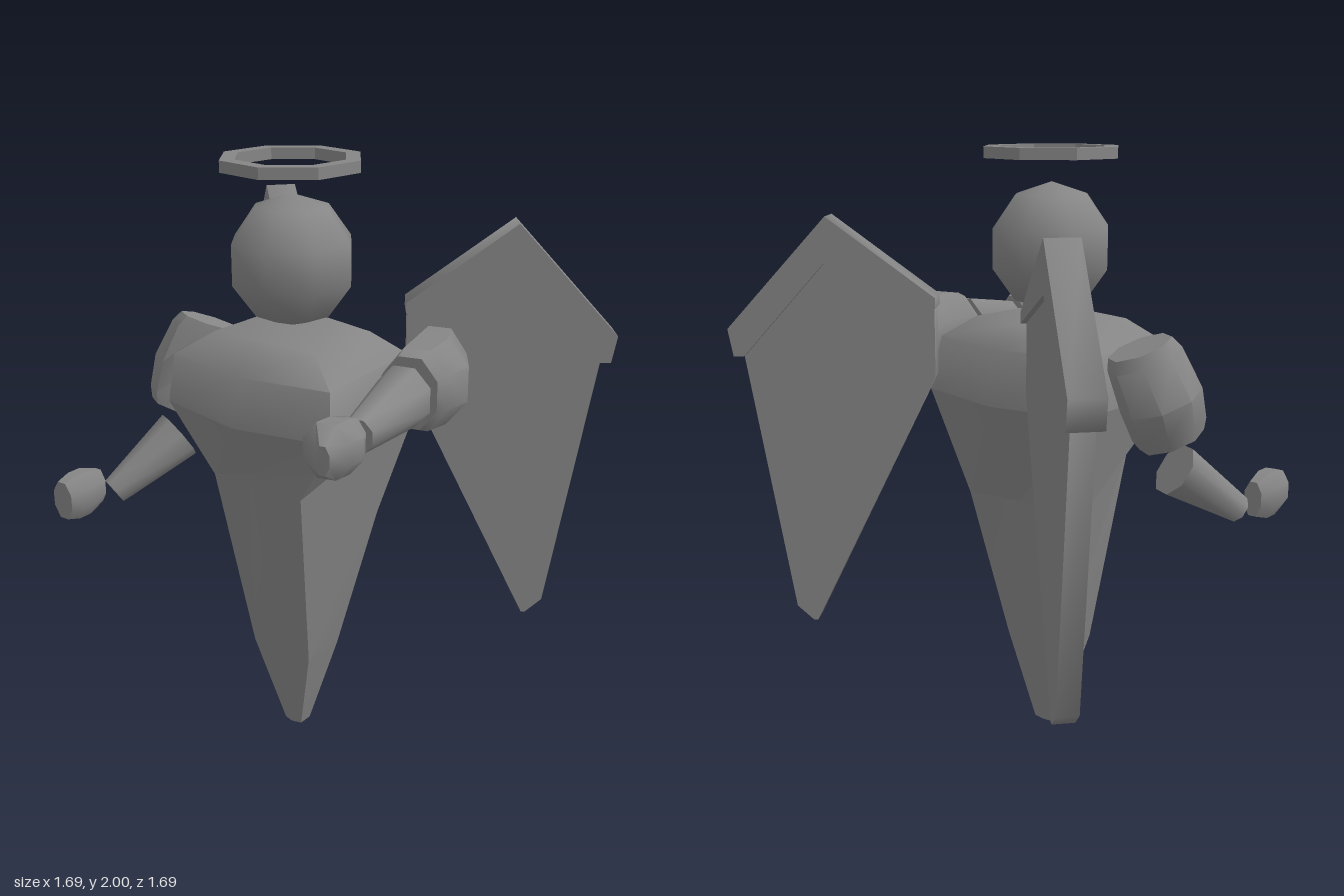
import * as THREE from 'three';
import { toCreasedNormals } from 'three/addons/utils/BufferGeometryUtils.js';

const grey = new THREE.MeshStandardMaterial({ color: 0x868686 });

// Closed skin over a list of rings (each a list of [x, y, z]), with flat end caps
function loft(rings, crease) {
  const n = rings[0].length, pos = rings.flat(2), idx = [];
  for (let i = 0; i < rings.length - 1; i++) {
    for (let j = 0; j < n; j++) {
      const k = (j + 1) % n, a = i * n + j, b = i * n + k;
      idx.push(a, b, b + n, a, b + n, a + n);
    }
  }
  const last = (rings.length - 1) * n;
  for (let j = 1; j < n - 1; j++) {
    idx.push(0, j + 1, j, last, last + j, last + j + 1);
  }
  const g = new THREE.BufferGeometry();
  g.setAttribute('position', new THREE.Float32BufferAttribute(pos, 3));
  g.setIndex(idx);
  return toCreasedNormals(g, crease);
}

function add(parent, name, geometry) {
  const m = new THREE.Mesh(geometry, grey);
  m.name = name;
  parent.add(m);
  return m;
}

// Limb segment pointing from one point to another; rows are [t, rx, ry, shiftX]
function limb(parent, name, from, to, rows) {
  const a = new THREE.Vector3(...from), b = new THREE.Vector3(...to);
  const len = a.distanceTo(b), sides = 8;
  const rings = rows.map(([t, rx, ry, ox = 0]) =>
    Array.from({ length: sides }, (_, j) => {
      const w = ((j + 0.5) / sides) * Math.PI * 2;
      return [ox + rx * Math.cos(w), ry * Math.sin(w), t * len];
    }));
  const m = add(parent, name, loft(rings, 0.85));
  m.position.copy(a);
  m.lookAt(b);
}

// Flat outline with thickness, smooth around the rim and sharp at the faces
function plate(points, depth) {
  const shape = new THREE.Shape(points.map(([x, y]) => new THREE.Vector2(x, y)));
  const g = new THREE.ExtrudeGeometry(shape, { depth, bevelEnabled: false });
  return toCreasedNormals(g.translate(0, 0, -depth / 2), 1.5);
}

// Wing: thin pointed panel under a thicker chevron rim
function wing(parent, name, x, z, angle) {
  const g = new THREE.Group();
  g.name = name;
  add(g, 'wingRim', plate([[0, 1.53], [0.35, 1.785], [0.686, 1.42], [0.67, 1.33],
    [0.635, 1.33], [0.36, 1.635], [0, 1.495]], 0.105));
  add(g, 'wingPanel', plate([[0.005, 1.5], [0.36, 1.64], [0.64, 1.34], [0.5, 0.45],
    [0.445, 0.4], [0.43, 0.4], [0.005, 1.27]], 0.07));
  g.position.set(x, 0, z);
  g.rotation.y = angle;
  parent.add(g);
}

export function createModel() {
  const model = new THREE.Group();
  model.name = 'angel';

  // Halo: eight-sided square-section ring
  const ring = [[0.18, -0.018], [0.228, -0.018], [0.228, 0.018], [0.18, 0.018], [0.18, -0.018]];
  const haloGeo = new THREE.LatheGeometry(ring.map(p => new THREE.Vector2(...p)), 8);
  add(model, 'halo', toCreasedNormals(haloGeo, 0.5)).position.set(-0.103, 1.982, 0.1);

  // Head
  add(model, 'head', new THREE.SphereGeometry(0.209, 8, 5)).position.set(-0.103, 1.68, 0.1);

  // Body: six-sided rings, as front corner, front ridge, back corner, back ridge
  const hex = ([uf, f, yf, fm, ym, ub, b, yb, bm, ybm]) => [
    [uf, yf, f], [ub, yb, -b], [0, ybm, -bm], [-ub, yb, -b], [-uf, yf, f], [0, ym, fm]];
  const chest = [0.33, 0.237, 1.21, 0.305, 1.21, 0.327, 0.237, 1.2, 0.305, 1.2];
  const body = new THREE.Group();
  body.name = 'body';
  add(body, 'robe', loft([
    [0.035, 0.025, 0, 0.035, 0, 0.035, 0.025, 0, 0.03, 0],
    [0.12, 0.085, 0.32, 0.11, 0.32, 0.125, 0.07, 0.32, 0.085, 0.32],
    [0.18, 0.195, 0.975, 0.225, 1.03, 0.24, 0.14, 0.83, 0.155, 0.85],
    chest,
  ].map(hex), 0.22));
  add(body, 'shoulders', loft([
    chest,
    [0.315, 0.22, 1.37, 0.28, 1.37, 0.3, 0.21, 1.38, 0.275, 1.38],
    [0.2, 0.145, 1.45, 0.19, 1.45, 0.2, 0.145, 1.45, 0.19, 1.45],
  ].map(hex), 1.1));
  body.position.set(-0.105, 0, 0.1);
  body.rotation.y = -0.245;
  model.add(body);

  // Arms: separate upper arm, forearm and hand; upper arms bulge outward
  const upper = [[0, 0.088, 0.118, -0.025], [0.12, 0.098, 0.138, -0.015],
    [0.55, 0.125, 0.149, 0.01], [0.88, 0.105, 0.138, -0.005], [1, 0.095, 0.12, -0.013]];
  const fore = [[0, 0.09, 0.1], [1, 0.05, 0.053]];
  const leftHand = [[0, 0.046, 0.07, 0.013], [0.3, 0.073, 0.086, 0.005],
    [0.62, 0.073, 0.086, -0.012], [1, 0.022, 0.045, 0.008]];
  const rightHand = [[0, 0.034, 0.063], [0.4, 0.055, 0.085], [0.7, 0.055, 0.085], [1, 0.045, 0.07]];
  limb(model, 'leftUpperArm', [0.365, 1.357, -0.05], [0.365, 1.357, 0.27], upper);
  limb(model, 'leftForearm', [0.35, 1.36, 0.31], [0.335, 1.35, 0.64], fore);
  limb(model, 'leftHand', [0.315, 1.35, 0.665], [0.31, 1.35, 0.84], leftHand);
  limb(model, 'rightUpperArm', [-0.495, 1.405, -0.06], [-0.575, 1.105, 0.02],
    upper.map(([t, rx, ry, ox]) => [t, rx, ry * 0.9, -ox]));
  limb(model, 'rightForearm', [-0.575, 1.005, 0.04], [-0.73, 0.84, 0.235],
    fore.map(([t, rx, ry]) => [t, rx * 0.95, ry * 0.9]));
  limb(model, 'rightHand', [-0.77, 0.87, 0.265], [-0.807, 0.87, 0.428], rightHand);

  // Wings
  wing(model, 'leftWing', 0.1925, -0.13, 0.39);
  wing(model, 'rightWing', -0.235, -0.265, 2.212);

  return model;
}
